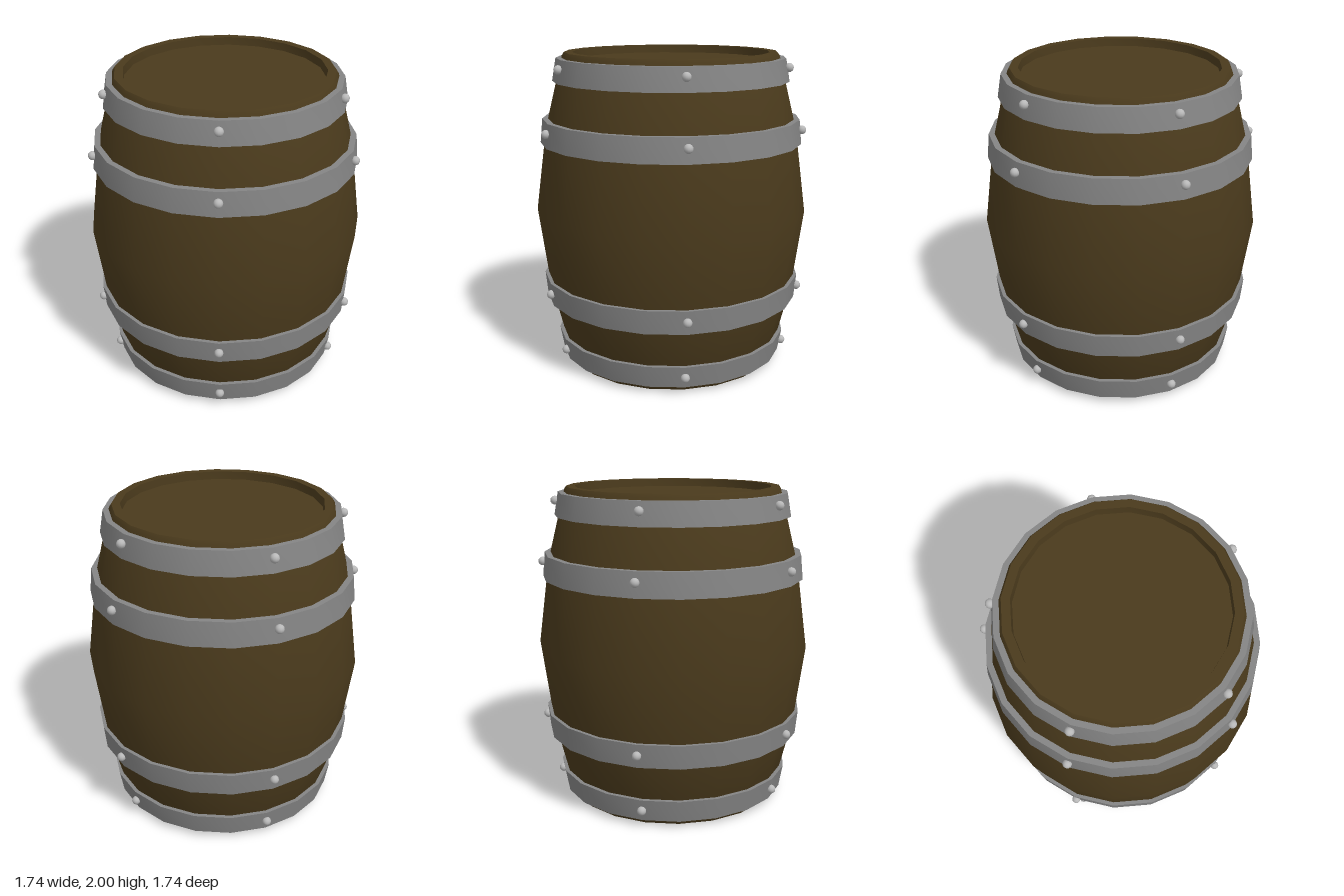
import * as THREE from 'three';
import { toCreasedNormals } from 'three/addons/utils/BufferGeometryUtils.js';

const SIDES = 20;
const wood = new THREE.MeshStandardMaterial({ color: 0x4a3a1c });
const iron = new THREE.MeshStandardMaterial({ color: 0x858585 });
const steel = new THREE.MeshStandardMaterial({ color: 0xb8b8b8 });

// Turned part from [radius, height] pairs, with sharp rims
function turned(name, profile, material) {
  const points = profile.map(([r, y]) => new THREE.Vector2(r, y));
  const geometry = toCreasedNormals(new THREE.LatheGeometry(points, SIDES), 0.6);
  const mesh = new THREE.Mesh(geometry, material);
  mesh.name = name;
  return mesh;
}

export function createModel() {
  const barrel = new THREE.Group();
  barrel.name = 'barrel';

  // Bulging body with a recessed head at each end
  const lowerHalf = [[0, 0.05], [0.615, 0.05], [0.62, 0], [0.672, 0], [0.685, 0.02], [0.8, 0.48]];
  const upperHalf = lowerHalf.map(([r, y]) => [r, 2 - y]).reverse();
  barrel.add(turned('body', [...lowerHalf, [0.87, 1], ...upperHalf], wood));

  // Hoops: bottom y, bottom radius, top y, top radius, rivet y, rivet distance
  const hoops = [
    ['bottomHoop', 0.04, 0.725, 0.18, 0.75, 0.11, 0.745],
    ['lowerHoop', 0.42, 0.82, 0.57, 0.835, 0.5, 0.835],
    ['upperHoop', 1.435, 0.835, 1.587, 0.82, 1.525, 0.835],
    ['topHoop', 1.822, 0.75, 1.965, 0.725, 1.91, 0.745],
  ];
  const rivetGeometry = new THREE.SphereGeometry(0.028, 12, 8);

  for (const [name, y0, r0, y1, r1, rivetY, rivetR] of hoops) {
    const hoop = new THREE.Group();
    hoop.name = name;
    const t = 0.06;
    hoop.add(turned('band', [[r0 - t, y0], [r0, y0], [r1, y1], [r1 - t, y1], [r0 - t, y0]], iron));

    // Five rivets evenly spaced, one at the front
    for (let i = 0; i < 5; i++) {
      const a = (i / 5) * Math.PI * 2;
      const rivet = new THREE.Mesh(rivetGeometry, steel);
      rivet.name = 'rivet';
      rivet.position.set(Math.sin(a) * rivetR, rivetY, Math.cos(a) * rivetR);
      hoop.add(rivet);
    }
    barrel.add(hoop);
  }
  return barrel;
}
